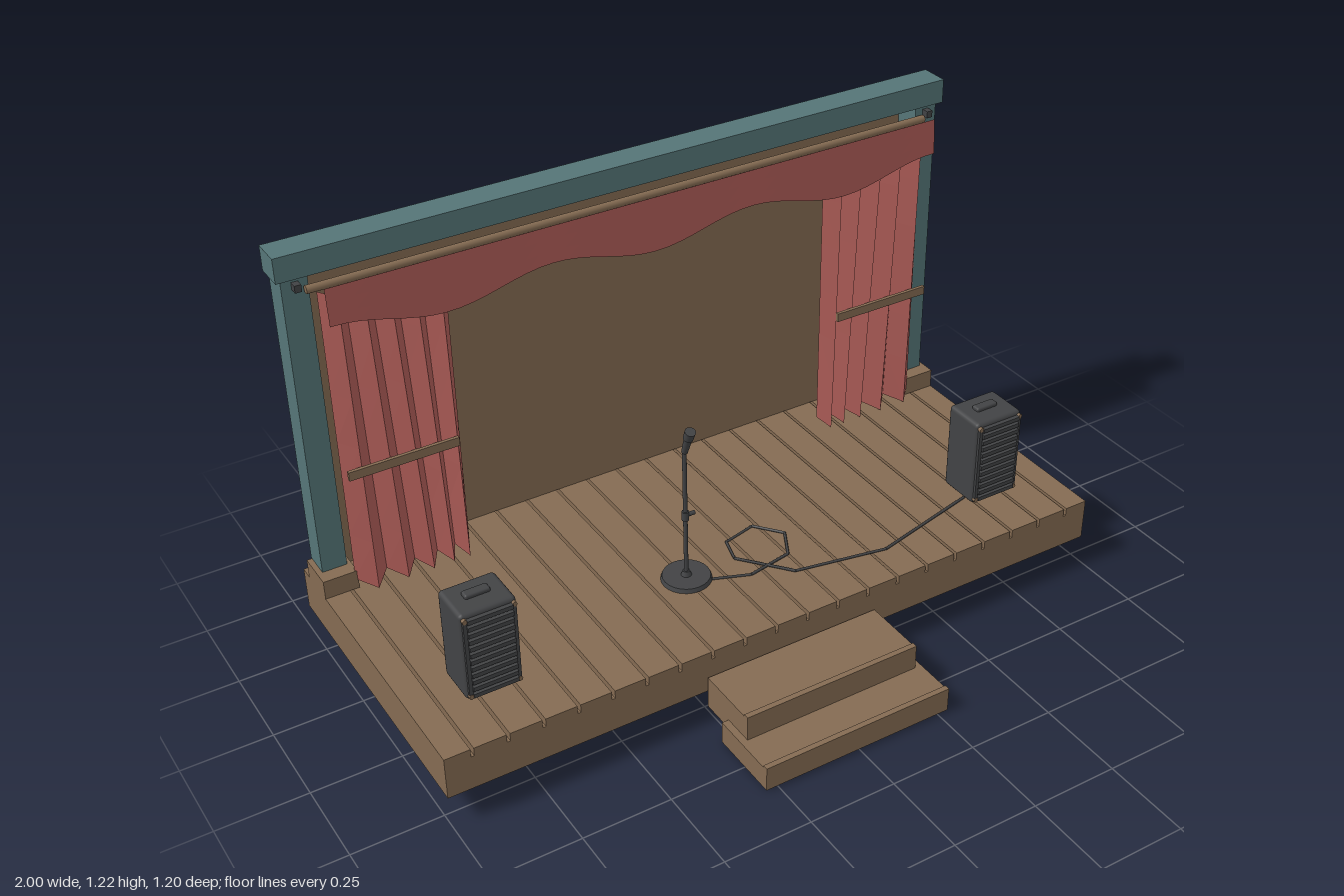
import * as THREE from 'three';
import { RoundedBoxGeometry } from 'three/addons/geometries/RoundedBoxGeometry.js';

const material = (name, color, extra = {}) => {
  const m = new THREE.MeshStandardMaterial({ color, ...extra });
  m.name = name;
  return m;
};

export function createModel() {
  const wood = material('wood', 0x846b52);
  const teal = material('teal paint', 0x557577);
  const red = material('red cloth', 0xad5c57, { side: THREE.DoubleSide, flatShading: true });
  const dark = material('dark metal', 0x424345);

  const model = new THREE.Group();
  model.name = 'theatreStage';

  const add = (name, geometry, mat, parent = model) => {
    const mesh = new THREE.Mesh(geometry, mat);
    mesh.name = name;
    parent.add(mesh);
    return mesh;
  };
  // Box given by its limits on each axis
  const box = (name, mat, [x0, x1], [y0, y1], [z0, z1], parent) => {
    const mesh = add(name, new THREE.BoxGeometry(x1 - x0, y1 - y0, z1 - z0), mat, parent);
    mesh.position.set((x0 + x1) / 2, (y0 + y1) / 2, (z0 + z1) / 2);
    return mesh;
  };
  // Round bar between two points
  const rod = (name, mat, a, b, r0, r1 = r0, sides = 12, parent) => {
    const p = new THREE.Vector3(...a), q = new THREE.Vector3(...b);
    const d = q.clone().sub(p);
    const mesh = add(name, new THREE.CylinderGeometry(r1, r0, d.length(), sides), mat, parent);
    mesh.position.copy(p).addScaledVector(d, 0.5);
    mesh.quaternion.setFromUnitVectors(new THREE.Vector3(0, 1, 0), d.normalize());
    return mesh;
  };

  // Deck planks with open gaps
  const pitch = 0.0974, gap = 0.009;
  for (let i = -10; i <= 10; i++) {
    const x0 = i === -10 ? -1 : (i - 0.5) * pitch + gap / 2;
    const x1 = i === 10 ? 1 : (i + 0.5) * pitch - gap / 2;
    box('deckPlank', wood, [x0, x1], [0.185, 0.21], [-0.6, 0.285]);
  }
  // Frame under the deck
  box('frontBeam', wood, [-1, 1], [0.085, 0.186], [0.245, 0.285]);
  box('backBeam', wood, [-1, 1], [0.085, 0.186], [-0.6, -0.56]);
  for (const s of [-1, 1]) {
    box('sideBeam', wood, s < 0 ? [-1, -0.96] : [0.96, 1], [0.085, 0.186], [-0.56, 0.245]);
  }
  // Legs
  for (const x of [-0.89, 0, 0.89]) {
    for (const z of [0.173, -0.512]) {
      box('leg', wood, [x - 0.025, x + 0.025], [0, 0.186], [z - 0.027, z + 0.027]);
    }
  }

  // Steps, each with a small nosing
  box('lowerStep', wood, [-0.283, 0.283], [0, 0.066], [0.39, 0.6]);
  box('lowerNosing', wood, [-0.283, 0.283], [0.066, 0.072], [0.584, 0.6]);
  box('upperStep', wood, [-0.263, 0.263], [0.037, 0.134], [0.29, 0.48]);
  box('upperNosing', wood, [-0.263, 0.263], [0.134, 0.14], [0.464, 0.48]);

  // Backdrop, header and posts
  box('backWall', wood, [-0.97, 0.97], [0.21, 1.147], [-0.6, -0.565]);
  box('header', teal, [-1, 1], [1.147, 1.216], [-0.56, -0.475]);
  box('headerBacking', teal, [-0.985, 0.985], [1.147, 1.2], [-0.566, -0.56]);
  for (const s of [-1, 1]) {
    const span = (a, b) => (s > 0 ? [a, b] : [-b, -a]);
    box('post', teal, span(0.915, 0.985), [0.21, 1.147], [-0.565, -0.487]);
    box('postBlock', wood, span(0.903, 1), [0.21, 0.266], [-0.56, -0.445]);
    box('rodBracket', dark, span(0.94, 0.958), [1.115, 1.135], [-0.49, -0.465]);
    box('curtainTie', wood, span(0.6, 0.91), [0.588, 0.614], [-0.402, -0.392]);
  }
  rod('curtainRod', wood, [-0.93, 1.115, -0.47], [0.93, 1.115, -0.47], 0.011);

  // Pleated side curtains, folds drifting inward toward the floor
  const curtain = (s) => {
    const folds = 10, rows = 6;
    const geo = new THREE.PlaneGeometry(1, 1, folds, rows);
    const p = geo.attributes.position;
    for (let i = 0; i < p.count; i++) {
      const u = p.getX(i) + 0.5, v = p.getY(i) + 0.5;
      const odd = Math.round(u * folds) % 2;
      const drift = 0.04 * (1 - v) * Math.sin(Math.PI * u);
      p.setXYZ(i, s * (0.91 - 0.335 * u - drift),
        THREE.MathUtils.lerp(odd ? 0.22 : 0.238, 1.113, v), odd ? -0.402 : -0.45);
    }
    geo.computeVertexNormals();
    add(s > 0 ? 'leftCurtain' : 'rightCurtain', geo, red);
  };
  curtain(1);
  curtain(-1);

  // Scalloped valance
  const valance = new THREE.PlaneGeometry(1.82, 1, 48, 3);
  const vp = valance.attributes.position;
  for (let i = 0; i < vp.count; i++) {
    const x = vp.getX(i), v = vp.getY(i) + 0.5;
    const hem = 1.02 - 0.026 * Math.cos((2 * Math.PI * x) / 0.6);
    vp.setXYZ(i, x, THREE.MathUtils.lerp(hem, 1.147, v), -0.385 - 0.008 * v);
  }
  valance.computeVertexNormals();
  add('valance', valance, red);

  // Loudspeakers with slatted fronts
  for (const s of [-1, 1]) {
    const g = new THREE.Group();
    g.name = 'loudspeaker';
    g.position.set(s * 0.786, 0, 0);
    model.add(g);
    add('cabinet', new RoundedBoxGeometry(0.155, 0.265, 0.128, 2, 0.012), dark, g)
      .position.set(0, 0.35, 0.069);
    for (let i = 0; i < 12; i++) {
      const y = 0.236 + i * 0.0208;
      box('grilleSlat', dark, [-0.062, 0.062], [y - 0.006, y + 0.006], [0.13, 0.145], g);
    }
    for (const x of [-0.067, 0.067]) {
      box('grilleEdge', dark, [x - 0.005, x + 0.005], [0.23, 0.47], [0.13, 0.139], g);
      for (const y of [0.232, 0.468]) {
        const screw = rod('cornerScrew', wood, [x, y, 0.13], [x, y, 0.141], 0.007, 0.007, 8, g);
        screw.name = 'cornerScrew';
      }
      for (const z of [0.025, 0.11]) {
        rod('foot', dark, [x * 0.8, 0.21, z], [x * 0.8, 0.222, z], 0.01, 0.01, 8, g);
      }
    }
    add('handle', new RoundedBoxGeometry(0.07, 0.016, 0.028, 2, 0.006), dark, g)
      .position.set(0, 0.485, 0.065);
  }

  // Microphone on its stand
  const mx = -0.143, mz = -0.015;
  rod('standBase', dark, [mx, 0.21, mz], [mx, 0.222, mz], 0.07, 0.066, 24);
  rod('standCollar', dark, [mx, 0.222, mz], [mx, 0.236, mz], 0.015, 0.01);
  rod('standPole', dark, [mx, 0.222, mz], [mx, 0.63, mz], 0.006);
  rod('poleClamp', dark, [mx, 0.403, mz], [mx, 0.43, mz], 0.01);
  rod('clampKnob', dark, [mx, 0.417, mz], [mx + 0.028, 0.417, mz], 0.006);
  rod('microphoneBody', dark, [mx, 0.62, mz + 0.002], [mx, 0.685, mz + 0.026], 0.009, 0.012);
  rod('microphoneHead', dark, [mx, 0.672, mz + 0.021], [mx, 0.698, mz + 0.032], 0.014, 0.015);

  // Looped cable from the stand to the loudspeaker
  const path = [[-0.09, 0.03], [0.01, 0.07], [0.145, 0.045], [0.19, -0.04], [0.13, -0.115],
    [0.03, -0.09], [0.01, -0.015], [0.12, 0.12], [0.385, 0.17], [0.715, 0.09]];
  for (let i = 1; i < path.length; i++) {
    const [a, b] = [path[i - 1], path[i]].map(([x, z]) => [x, 0.214, z]);
    rod('cable', dark, a, b, 0.004, 0.004, 6);
  }
  return model;
}
